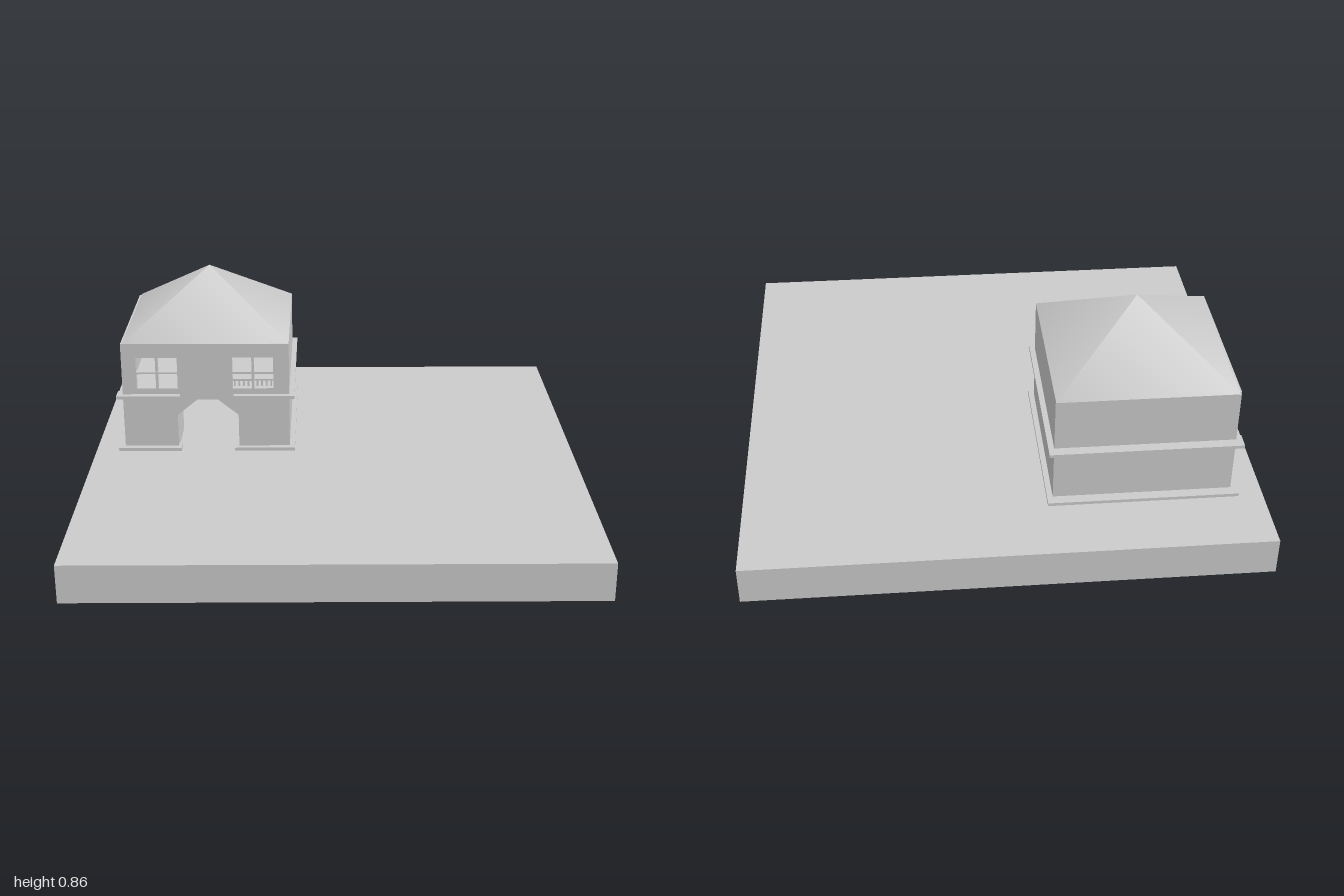
import * as THREE from 'three';

const material = new THREE.MeshStandardMaterial({ color: 0xcccccc, side: THREE.DoubleSide });

export function createModel() {
  const model = new THREE.Group();

  const add = (parent, name, geometry) => {
    const mesh = new THREE.Mesh(geometry, material);
    mesh.name = name;
    parent.add(mesh);
    return mesh;
  };
  // Box given by its lower and upper limits on each axis
  const box = (parent, name, x0, x1, y0, y1, z0, z1) => {
    const mesh = add(parent, name, new THREE.BoxGeometry(x1 - x0, y1 - y0, z1 - z0));
    mesh.position.set((x0 + x1) / 2, (y0 + y1) / 2, (z0 + z1) / 2);
    return mesh;
  };
  const rectPath = (x0, x1, y0, y1) => new THREE.Path([
    [x0, y0], [x0, y1], [x1, y1], [x1, y0],
  ].map(([x, y]) => new THREE.Vector2(x, y)));

  // Ground slab
  box(model, 'ground', -1, 1, 0, 0.152, -1, 1);

  const house = new THREE.Group();
  house.name = 'house';
  model.add(house);

  const left = -0.88, right = -0.187, back = -0.695, front = -0.022;
  const floorY = 0.152, topY = 0.62, wall = 0.025;
  const doorL = -0.655, doorR = -0.4, doorTop = 0.375;

  // Front wall: gateway with cut corners and two four-pane windows
  const face = new THREE.Shape([
    [left, floorY], [doorL, floorY], [doorL, 0.305], [-0.57, doorTop],
    [-0.485, doorTop], [doorR, 0.305], [doorR, floorY], [right, floorY],
    [right, topY], [left, topY],
  ].map(([x, y]) => new THREE.Vector2(x, y)));
  const windows = [-0.82, -0.422];
  for (const x of windows) {
    for (const dx of [0, 0.09]) {
      for (const y of [0.424, 0.496]) {
        face.holes.push(rectPath(x + dx, x + dx + 0.08, y, y + 0.064));
      }
    }
  }
  const frontWall = add(house, 'frontWall', new THREE.ExtrudeGeometry(face, { depth: wall, bevelEnabled: false }));
  frontWall.position.z = front - wall;

  // Small rail behind the lower panes of one window
  const railZ = front - wall;
  box(house, 'windowRail', -0.422, -0.252, 0.448, 0.456, railZ - 0.008, railZ);
  for (let i = 0; i < 9; i++) {
    const x = -0.418 + i * 0.019;
    box(house, 'railPost', x, x + 0.007, 0.424, 0.45, railZ - 0.008, railZ);
  }

  // Remaining walls and the upper floor
  box(house, 'backWall', left, right, floorY, topY, back, back + wall);
  box(house, 'rightWall', right - wall, right, floorY, topY, back, front - wall);
  box(house, 'leftWall', left, left + wall, floorY, topY, back, front - wall);
  box(house, 'upperFloor', left + wall, right - wall, doorTop, 0.4, back + wall, front - wall);

  // Side walls lining the gateway
  box(house, 'gatewayWall', doorL - 0.02, doorL, floorY, doorTop, front - 0.22, front - wall);
  box(house, 'gatewayWall', doorR, doorR + 0.02, floorY, doorTop, front - 0.22, front - wall);

  // Ledges around both storeys, broken at the gateway
  for (const y of [floorY, 0.386]) {
    const h = y + 0.013;
    box(house, 'frontLedge', -0.905, -0.642, y, h, -0.06, 0.003);
    box(house, 'frontLedge', -0.418, -0.165, y, h, -0.06, 0.003);
    box(house, 'rightLedge', right, -0.165, y, h, -0.735, -0.06);
    box(house, 'leftLedge', -0.896, left, y, h, -0.67, -0.06);
    box(house, 'backLedge', -0.905, right, y, h, -0.735, -0.67);
  }

  // Pyramid roof
  const roofGeometry = new THREE.ConeGeometry(0.686 / Math.SQRT2, 0.238, 4).rotateY(Math.PI / 4);
  const roof = add(house, 'roof', roofGeometry);
  roof.position.set(-0.53, topY + 0.119, -0.366);

  return model;
}
